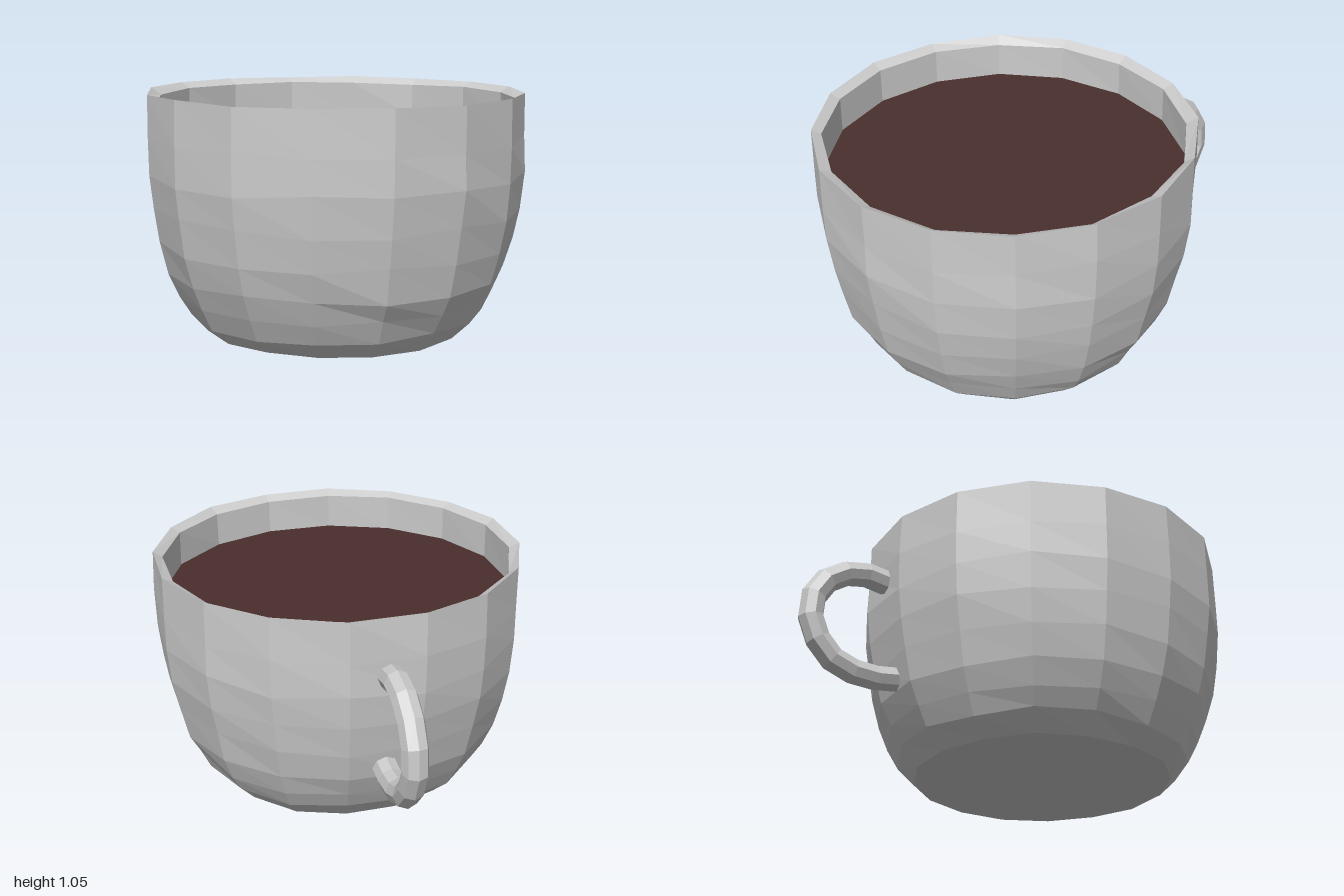
import * as THREE from 'three';

const SIDES = 16;
const CENTER_X = 0.175;

const grey = () => new THREE.MeshStandardMaterial({ color: 0xcccccc, flatShading: true });

// Repeatable value in -1..1 for a grid position
function wobble(i, j) {
  const s = Math.sin(i * 12.9898 + j * 78.233) * 43758.5453;
  return (s - Math.floor(s)) * 2 - 1;
}

// Cup shell: outside from the base centre to the lip, then down the inside
function cupGeometry() {
  const profile = [
    [0, 0.006], [0.572, 0.006], [0.652, 0.085], [0.7, 0.175], [0.745, 0.275],
    [0.78, 0.41], [0.806, 0.55], [0.824, 0.7], [0.824, 0.86], [0.82, 1.045],
    [0.775, 1.02], [0.775, 0.86], [0.73, 0.4], [0.6, 0.12], [0, 0.08],
  ];
  const geo = new THREE.LatheGeometry(profile.map(([r, y]) => new THREE.Vector2(r, y)), SIDES);
  const pos = geo.attributes.position;
  const rows = profile.length;
  // Slightly uneven, hand-shaped facets
  for (let k = 0; k < pos.count; k++) {
    const i = Math.floor(k / rows) % SIDES;
    const j = k % rows;
    if (j === 0 || j === rows - 1) continue;
    const amount = j === 1 || j >= 9 ? 0.005 : 0.014;
    const scale = 1 + 0.005 * (wobble(i + 31, j) - 0.5);
    pos.setXYZ(k, pos.getX(k) * scale, pos.getY(k) + amount * wobble(i, j), pos.getZ(k) * scale);
  }
  return geo;
}

// Handle loop, lying in an upright plane turned a little to the back
function handleGeometry() {
  const path = [
    [-0.6, 0.785], [-0.71, 0.8], [-0.83, 0.765], [-0.915, 0.68], [-0.945, 0.565],
    [-0.91, 0.45], [-0.83, 0.36], [-0.69, 0.32], [-0.54, 0.335],
  ].map(([x, y]) => new THREE.Vector3(x, y, -0.145 + 0.195 * (x + 0.6)));
  return new THREE.TubeGeometry(new THREE.CatmullRomCurve3(path), 10, 0.056, 8);
}

export function createModel() {
  const group = new THREE.Group();
  group.name = 'cupOfCoffee';

  const add = (name, geometry, material) => {
    const mesh = new THREE.Mesh(geometry, material);
    mesh.name = name;
    group.add(mesh);
    return mesh;
  };

  add('cup', cupGeometry(), grey()).position.x = CENTER_X;
  add('handle', handleGeometry(), grey());

  // Drink surface
  const drinkMaterial = grey();
  drinkMaterial.color.set(0x4a2f2d);
  const drink = add('drink', new THREE.CircleGeometry(0.775, SIDES), drinkMaterial);
  drink.rotation.x = -Math.PI / 2;
  drink.position.set(CENTER_X, 0.865, 0);

  return group;
}
